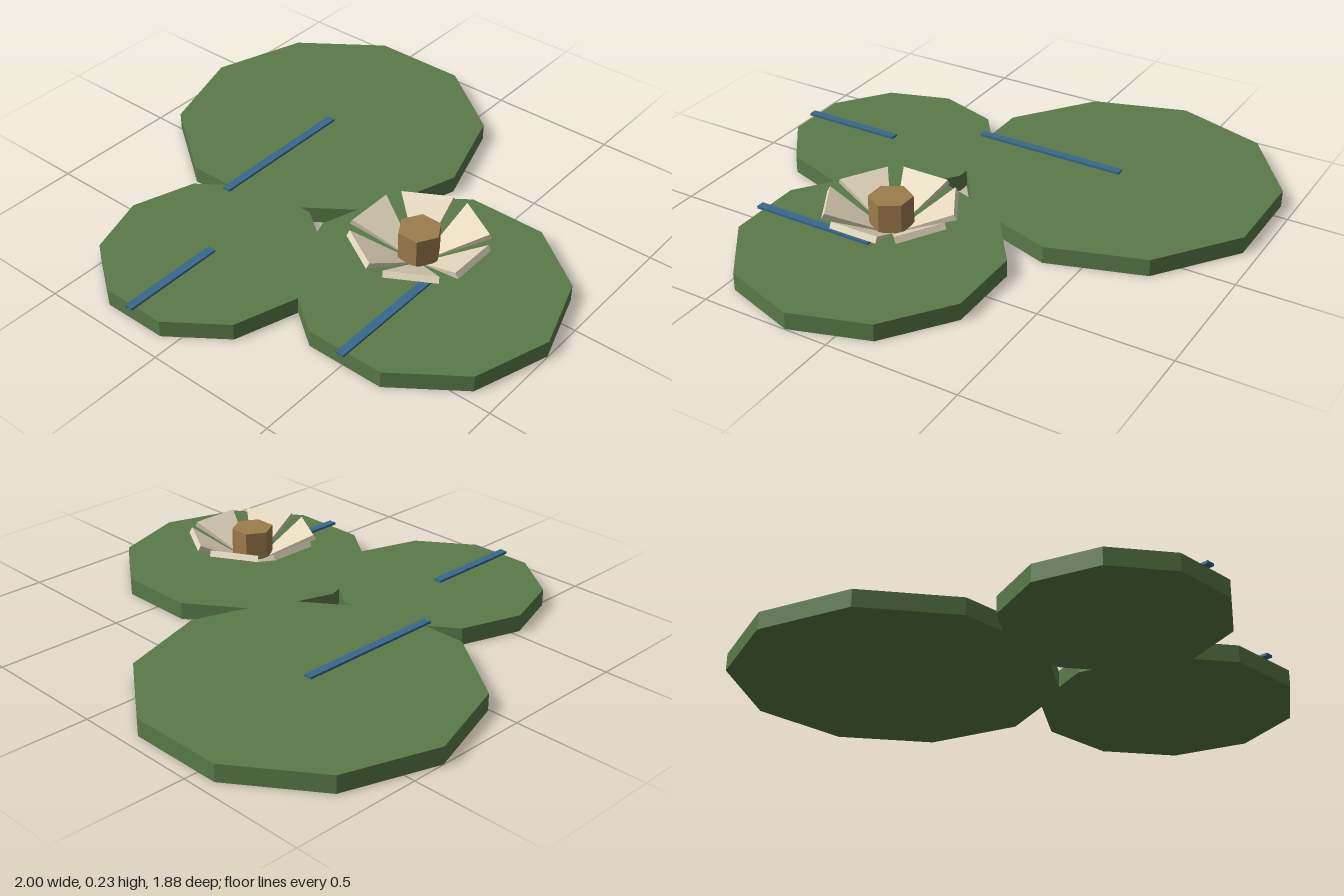
import * as THREE from 'three';

const mat = (name, color) => {
  const m = new THREE.MeshStandardMaterial({ color, flatShading: true });
  m.name = name;
  return m;
};

export function createModel() {
  const green = mat('leafGreen', 0x5a7a48);
  const blue = mat('veinBlue', 0x38688c);
  const cream = mat('petalCream', 0xe2d6bc);
  const ochre = mat('coreOchre', 0x9c7c4c);

  const model = new THREE.Group();
  model.name = 'lilyPads';
  const add = (parent, name, geometry, material, x = 0, y = 0, z = 0) => {
    const mesh = new THREE.Mesh(geometry, material);
    mesh.name = name;
    mesh.position.set(x, y, z);
    parent.add(mesh);
    return mesh;
  };

  // Ten-sided pads, each with a strip running from its centre past the front edge
  const padHeight = 0.066;
  const pads = [
    ['large', -0.39, -0.365, 0.61],
    ['medium', 0.508, 0.165, 0.49],
    ['small', -0.186, 0.532, 0.405],
  ];
  for (const [size, x, z, r] of pads) {
    const disc = new THREE.CylinderGeometry(r, r, padHeight, 10).rotateY(Math.PI / 2);
    add(model, size + 'Pad', disc, green, x, padHeight / 2, z);
    const strip = new THREE.BoxGeometry(0.032, 0.0095, r);
    add(model, size + 'PadStrip', strip, blue, x, 0.0705, z + r / 2);
  }

  // Flower: six flat pyramids with their tips meeting at the base
  const flower = new THREE.Group();
  flower.name = 'flower';
  flower.position.set(0.427, 0.076, 0.127);
  model.add(flower);
  const petal = new THREE.ConeGeometry(Math.SQRT1_2, 1, 4)
    .rotateY(Math.PI / 4)
    .translate(0, -0.5, 0)
    .rotateZ(Math.PI / 2)
    .scale(0.26, 0.024, 0.19)
    .rotateZ(0.5);
  for (let i = 0; i < 6; i++) {
    add(flower, 'petal', petal, cream).rotation.y = (i * Math.PI) / 3;
  }

  // Six-sided flower core
  const core = new THREE.CylinderGeometry(0.08, 0.08, 0.11, 6).rotateY(Math.PI / 2);
  add(flower, 'flowerCore', core, ochre, 0, 0.098, 0);

  return model;
}
